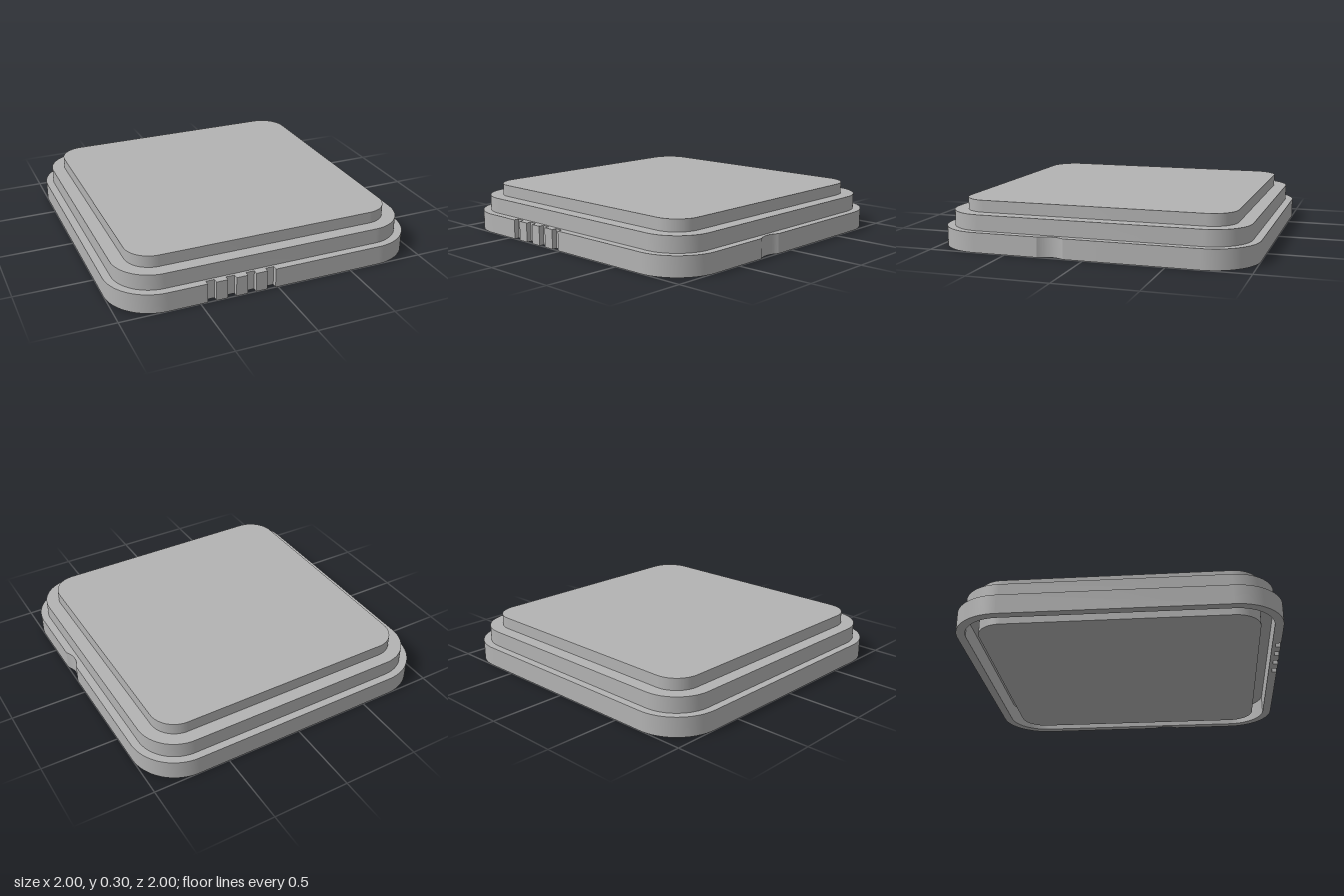
import * as THREE from 'three';
import { toCreasedNormals } from 'three/addons/utils/BufferGeometryUtils.js';

const CORNER = 0.7; // all outlines share the same corner centres

// Rounded square outline; the rim version adds grip slots and a thumb scallop
function outline(half, notched = false, Kind = THREE.Shape) {
  const c = CORNER, r = half - c;
  const s = new Kind();
  s.moveTo(-c, -half);
  if (notched) {
    // four square slots along the front edge
    for (let i = 0; i < 4; i++) {
      const x = -0.455 + i * 0.128;
      s.lineTo(x, -half);
      s.lineTo(x, -half + 0.033);
      s.lineTo(x + 0.055, -half + 0.033);
      s.lineTo(x + 0.055, -half);
    }
  }
  s.lineTo(c, -half);
  s.absarc(c, -c, r, -Math.PI / 2, 0, false);
  if (notched) {
    // shallow round scallop on the left edge
    const R = 0.149, depth = 0.025, a = Math.acos((R - depth) / R);
    s.absarc(half + R - depth, -0.207, R, Math.PI + a, Math.PI - a, true);
  }
  s.lineTo(half, c);
  s.absarc(c, c, r, 0, Math.PI / 2, false);
  s.lineTo(-c, half);
  s.absarc(-c, c, r, Math.PI / 2, Math.PI, false);
  s.lineTo(-half, -c);
  s.absarc(-c, -c, r, Math.PI, Math.PI * 1.5, false);
  return s;
}

// Upright slab of a shape between two heights
function slab(name, shape, y0, y1, material) {
  const raw = new THREE.ExtrudeGeometry(shape, { depth: y1 - y0, bevelEnabled: false, curveSegments: 20 });
  raw.rotateX(-Math.PI / 2);
  raw.translate(0, y0, 0);
  const mesh = new THREE.Mesh(toCreasedNormals(raw, Math.PI / 6), material);
  mesh.name = name;
  return mesh;
}

export function createModel() {
  const group = new THREE.Group();
  group.name = 'steppedLid';
  const grey = new THREE.MeshStandardMaterial({ color: 0xb3b3b3 });
  grey.name = 'grey';

  // thin outer skirt, open inside to leave a groove around the core
  const rim = outline(1, true);
  rim.holes.push(outline(0.945, false, THREE.Path));
  group.add(slab('outerRim', rim, 0, 0.125, grey));

  // middle step, whose underside closes the groove
  const step = outline(0.95);
  step.holes.push(outline(0.864, false, THREE.Path));
  group.add(slab('middleStep', step, 0.125, 0.225, grey));

  // solid core running from the underside to the top plate
  group.add(slab('core', outline(0.864), 0, 0.3, grey));

  return group;
}
